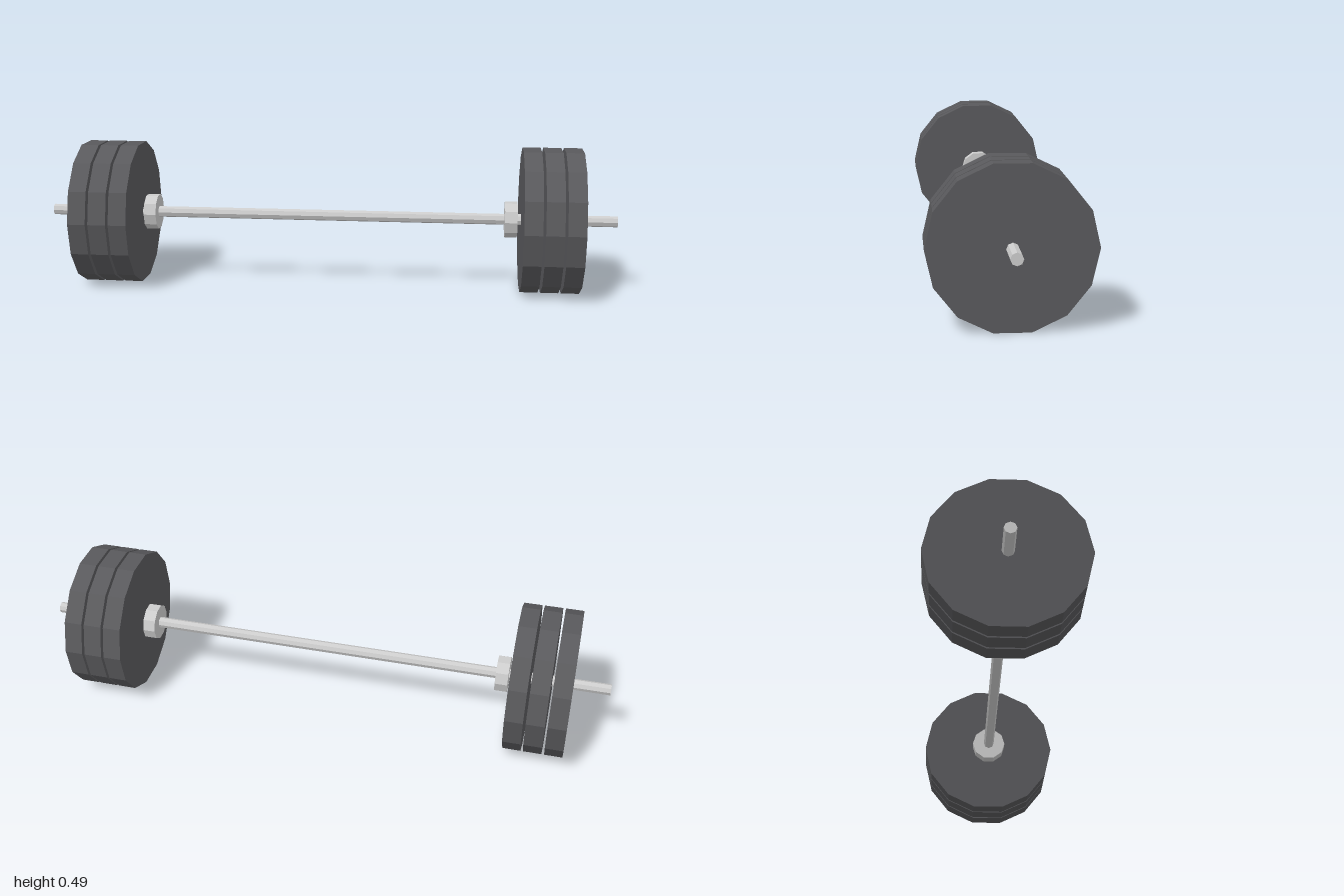
import * as THREE from 'three';

const AXIS_Y = 0.2457;

// Faceted disc or rod lying along x, with a corner pointing to +z
function rod(name, radius, length, sides, x, material) {
  const geometry = new THREE.CylinderGeometry(radius, radius, length, sides);
  geometry.rotateZ(Math.PI / 2);
  const mesh = new THREE.Mesh(geometry, material);
  mesh.name = name;
  mesh.position.set(x, AXIS_Y, 0);
  return mesh;
}

export function createModel() {
  const steel = new THREE.MeshStandardMaterial({ color: 0xcccccc, flatShading: true });
  const iron = new THREE.MeshStandardMaterial({ color: 0x59595c, flatShading: true });

  const barbell = new THREE.Group();
  barbell.name = 'barbell';
  barbell.add(rod('bar', 0.0193, 2, 8, 0, steel));

  // Collar and three plates at each end
  for (const [side, sign] of [['left', 1], ['right', -1]]) {
    const weights = new THREE.Group();
    weights.name = `${side}Weights`;
    weights.add(rod(`${side}Collar`, 0.0628, 0.043, 10, sign * 0.635, steel));
    for (let i = 0; i < 3; i++) {
      weights.add(rod(`${side}Plate${i + 1}`, 0.252, 0.062, 14, sign * (0.701 + i * 0.071), iron));
    }
    barbell.add(weights);
  }
  return barbell;
}
